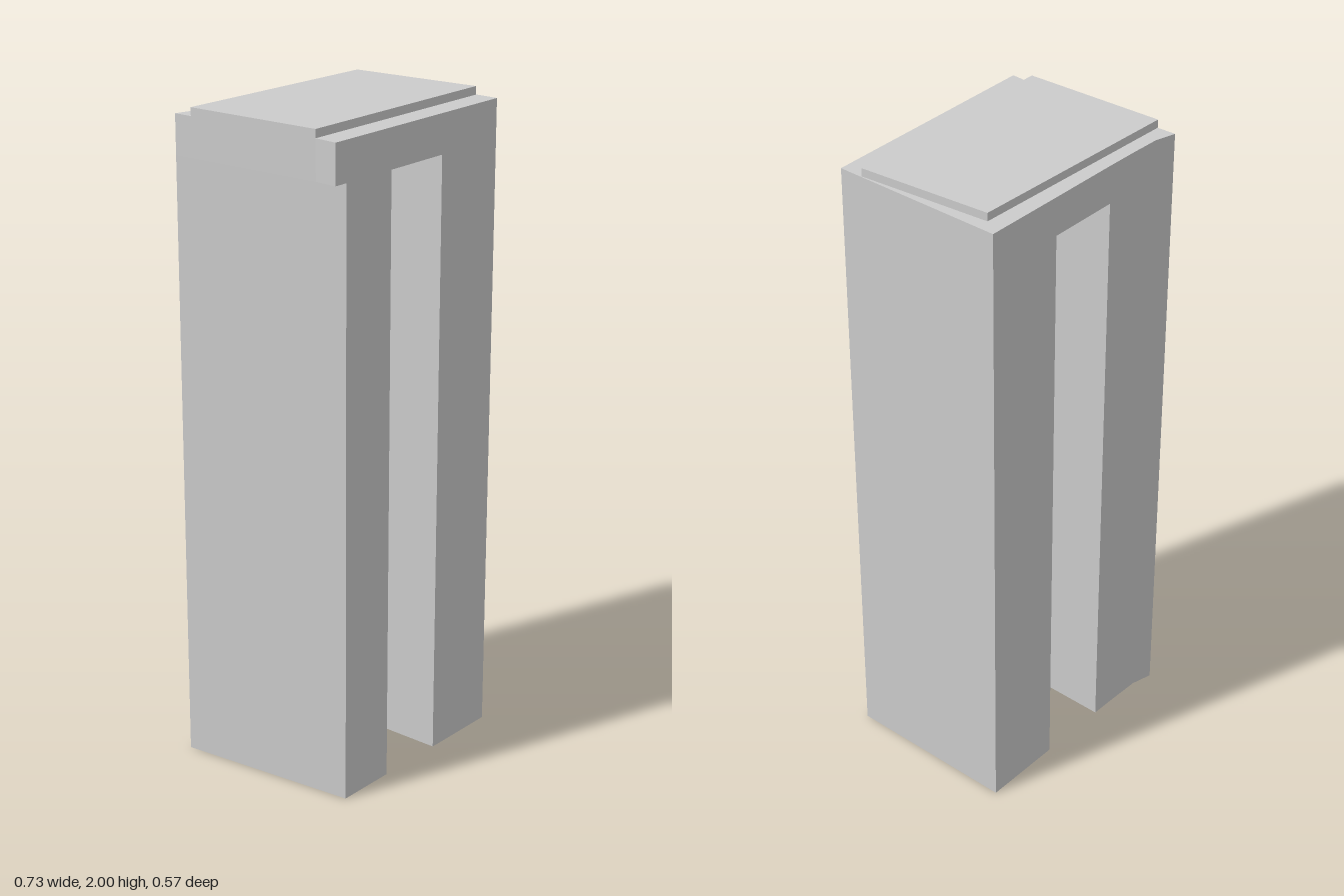
import * as THREE from 'three';

const material = new THREE.MeshStandardMaterial({ color: 0xcccccc, flatShading: true });

// Upright prism from a plan outline of [x, z] points, between two heights.
function prism(name, outline, bottom, top) {
  const shape = new THREE.Shape(outline.map(([x, z]) => new THREE.Vector2(x, -z)));
  const geometry = new THREE.ExtrudeGeometry(shape, { depth: top - bottom, bevelEnabled: false });
  geometry.rotateX(-Math.PI / 2);
  geometry.translate(0, bottom, 0);
  const mesh = new THREE.Mesh(geometry, material);
  mesh.name = name;
  return mesh;
}

export function createModel() {
  const group = new THREE.Group();
  group.name = 'archBlock';

  const front = 0.283;
  const legTop = 1.857;
  const beamTop = 1.975;
  // Back edge, flaring out at the right corner
  const flare = [[-0.2, -0.262], [-0.302, -0.266], [-0.367, -0.284]];

  // Left leg, straight sided
  group.add(prism('leftLeg',
    [[0.112, front], [0.365, front], [0.365, -0.253], [0.112, -0.257]], 0, legTop));

  // Right leg, its outer wall slanting inwards to the front
  group.add(prism('rightLeg',
    [[-0.306, front], [-0.114, front], [-0.114, -0.26], ...flare], 0, legTop));

  // Beam over the opening, overhanging the right leg
  group.add(prism('beam',
    [[-0.351, front], [0.365, front], [0.365, -0.253], [0.112, -0.257], [-0.114, -0.26],
      ...flare, [-0.346, 0.21]], legTop, beamTop));

  // Thin skewed slab on top
  group.add(prism('capSlab',
    [[-0.346, 0.21], [0.362, 0.21], [0.325, -0.2], [-0.365, -0.226]], beamTop, 2));

  return group;
}
